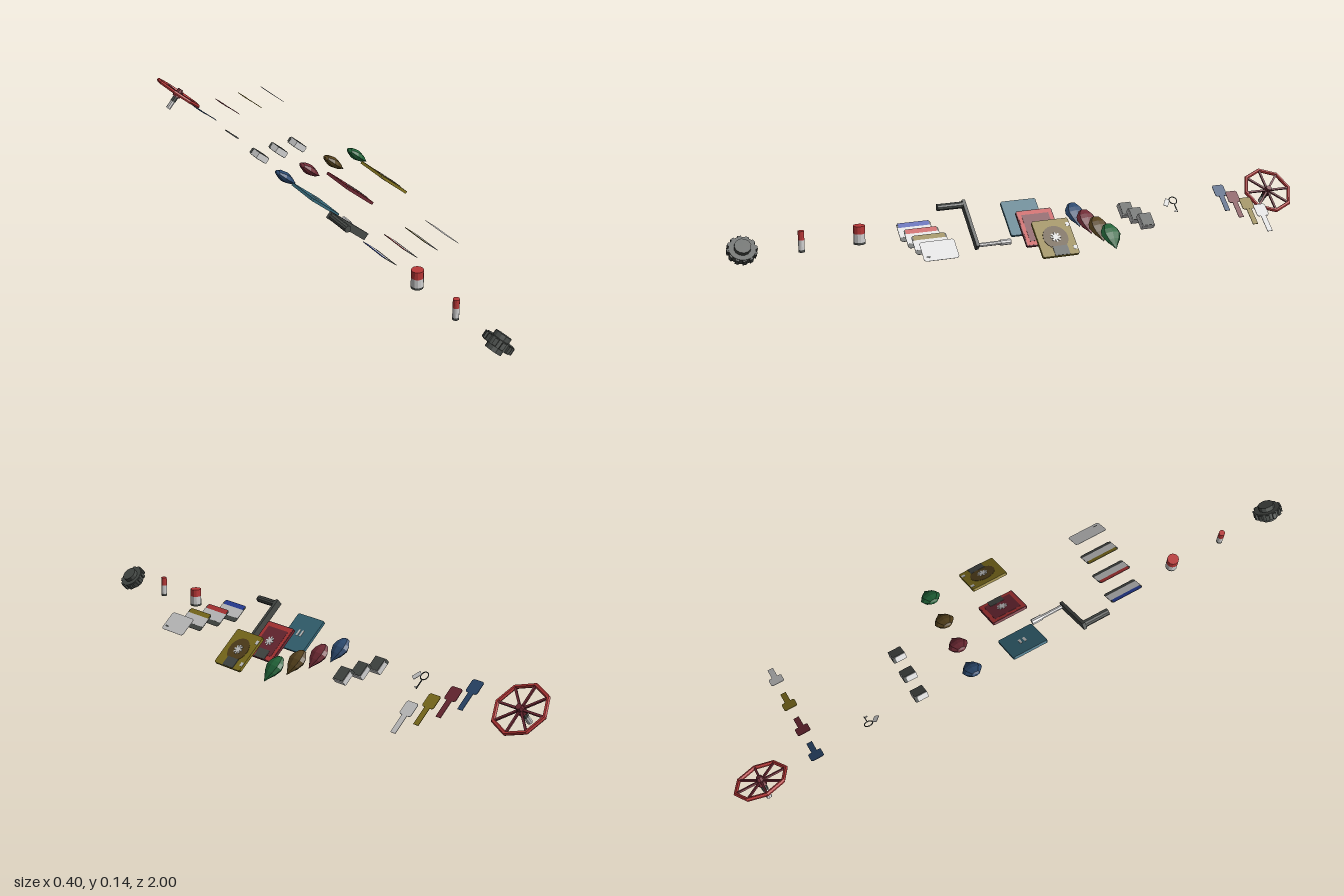
import * as THREE from 'three';

const mat = (name, color) => {
  const m = new THREE.MeshStandardMaterial({ color, flatShading: true });
  m.name = name;
  return m;
};

export function createModel() {
  const root = new THREE.Group();
  const dark = mat('dark grey', 0x474b48), white = mat('white', 0xd0d0d0), royal = mat('royal blue', 0x2b43a4);
  const red = mat('red', 0xb93838), maroon = mat('maroon', 0x702a35), blue = mat('blue', 0x2c4a70);
  const teal = mat('teal', 0x37697a), yellow = mat('mustard', 0x85741f), brown = mat('brown', 0x57431d), green = mat('green', 0x216338);
  const TILT = -42 * Math.PI / 180;

  const add = (parent, name, geo, material, x = 0, y = 0, z = 0) => {
    const m = new THREE.Mesh(geo, material);
    m.name = name;
    m.position.set(x, y, z);
    parent.add(m);
    return m;
  };
  const box = (p, name, m, w, h, d, x, y, z) => add(p, name, new THREE.BoxGeometry(w, h, d), m, x, y, z);
  const cyl = (p, name, m, r1, r2, h, n, x, y, z) => add(p, name, new THREE.CylinderGeometry(r1, r2, h, n), m, x, y, z);
  // Group lying on the common slope: local x runs down the slope, local y is its normal
  const item = (name, x, y, z, tilted = true) => {
    const g = new THREE.Group();
    g.name = name;
    g.position.set(x, y, z);
    if (tilted) g.rotation.z = TILT;
    root.add(g);
    return g;
  };
  // Flat plate with cut corners, thickness along local y
  const plate = (w, d, r, t) => {
    const s = new THREE.Shape(), a = w / 2, b = d / 2;
    s.moveTo(-a + r, -b).lineTo(a - r, -b).lineTo(a, -b + r).lineTo(a, b - r)
      .lineTo(a - r, b).lineTo(-a + r, b).lineTo(-a, b - r).lineTo(-a, -b + r);
    return new THREE.ExtrudeGeometry(s, { depth: t, bevelEnabled: false }).translate(0, 0, -t / 2).rotateX(-Math.PI / 2);
  };

  // Toothed gear with a hub on both sides
  const gear = item('gear', -0.127, 0.071, 0.953);
  cyl(gear, 'gearDisc', dark, 0.042, 0.042, 0.024, 24);
  cyl(gear, 'gearHub', dark, 0.026, 0.026, 0.054, 12);
  for (let i = 0; i < 12; i++) {
    const a = i * Math.PI / 6;
    const t = box(gear, 'gearTooth', dark, 0.01, 0.02, 0.012, Math.cos(a) * 0.042, 0, Math.sin(a) * 0.042);
    t.rotation.y = -a;
  }

  // Upright batteries: red top, pale label, dark base
  const battery = (name, z, r, h, y) => {
    const g = item(name, -0.131, y, z, false);
    cyl(g, 'topBand', red, r, r, h * 0.42, 12, 0, h * 0.29, 0);
    cyl(g, 'label', white, r, r, h * 0.46, 12, 0, -h * 0.15, 0);
    cyl(g, 'base', dark, r, r, h * 0.12, 12, 0, -h * 0.44, 0);
  };
  battery('thinBattery', 0.767, 0.01, 0.068, 0.077);
  battery('thickBattery', 0.581, 0.019, 0.06, 0.078);

  // Very thin access cards, both faces with a coloured edge and a dark strip
  [royal, red, yellow, white].forEach((m, i) => {
    const g = item('accessCard', -0.135 + i * 0.0765, 0.067, 0.394);
    add(g, 'cardBody', plate(0.07, 0.114, 0.006, 0.0012), i < 3 ? dark : white);
    for (const s of [-1, 1]) {
      if (i < 3) {
        box(g, 'cardEdge', m, 0.017, 0.0006, 0.104, -0.026, s * 0.0007, 0);
        box(g, 'cardFace', white, 0.036, 0.0006, 0.112, 0.0005, s * 0.0007, 0);
      } else {
        box(g, 'cardMark', dark, 0.006, 0.0006, 0.014, 0.02, s * 0.0007, 0.04);
      }
    }
  });

  // Crank: grip, arm, shaft and socket
  const crank = item('crank', -0.128, 0.068, 0.21);
  box(crank, 'crankArm', dark, 0.18, 0.024, 0.011, -0.002, 0, 0);
  cyl(crank, 'crankGrip', dark, 0.0115, 0.0115, 0.09, 10, -0.08, 0, 0.047).rotation.x = Math.PI / 2;
  cyl(crank, 'crankShaft', white, 0.007, 0.007, 0.09, 8, 0.079, 0, -0.045).rotation.x = Math.PI / 2;
  cyl(crank, 'crankSocket', white, 0.01, 0.01, 0.036, 8, 0.079, 0, -0.099).rotation.x = Math.PI / 2;

  // Square disk cases: hub star in the middle and a shutter at the downhill edge, on both faces
  [teal, maroon, yellow].forEach((m, i) => {
    const g = item('diskCase', -0.129 + i * 0.1315, 0.073, 0.024);
    add(g, 'caseBody', plate(0.134, 0.124, 0.004, 0.009), m);
    for (const s of [-1, 1]) {
      if (i === 0) {
        for (const k of [-1, 1]) box(g, 'hubMark', white, 0.024, 0.002, 0.008, 0, s * 0.0048, k * 0.008);
        continue;
      }
      if (i === 1) {
        box(g, 'caseFrame', red, 0.128, 0.001, 0.118, 0, s * 0.0045, 0);
        box(g, 'casePanel', maroon, 0.1, 0.001, 0.094, 0, s * 0.0051, 0);
      } else {
        cyl(g, 'caseDisc', brown, 0.042, 0.042, 0.002, 20, 0, s * 0.0046, 0);
        for (const k of [-1, 1]) box(g, 'caseNotch', white, 0.014, 0.002, 0.012, k * 0.043, s * 0.0042, -0.054);
      }
      box(g, 'shutter', dark, 0.034, 0.002, 0.05, 0.049, s * 0.0052, -0.004);
      for (let k = 0; k < 4; k++) {
        box(g, 'hubStar', white, 0.034, 0.002, 0.006, 0, s * 0.006, 0).rotation.y = k * Math.PI / 4;
      }
    }
  });

  // Slim teardrop gems, blunt uphill and pointed downhill
  const drop = [[0, -0.046], [0.015, -0.041], [0.03, -0.02], [0.033, -0.004], [0.024, 0.018], [0.01, 0.036], [0, 0.052]];
  const gemGeo = new THREE.LatheGeometry(drop.map(p => new THREE.Vector2(...p)), 8).rotateZ(-Math.PI / 2).scale(1, 0.52, 1);
  [blue, maroon, brown, green].forEach((m, i) => {
    add(item('gem', -0.126 + i * 0.093, 0.065, -0.162), 'gemBody', gemGeo, m);
  });

  // Fuses: pale blocks with dark covers and a dark band at the uphill back corner
  for (let i = 0; i < 3; i++) {
    const g = item('fuse', -0.118 + i * 0.074, 0.061, -0.346);
    box(g, 'fuseCore', white, 0.05, 0.019, 0.045);
    for (const s of [-1, 1]) box(g, 'fuseCover', dark, 0.046, 0.003, 0.042, 0, s * 0.01, 0);
    box(g, 'fuseBand', dark, 0.01, 0.017, 0.01, -0.0205, 0, -0.018);
  }

  // Small ring key with a tag
  const key = item('ringKey', -0.13, 0.072, -0.532);
  add(key, 'keyRing', new THREE.TorusGeometry(0.014, 0.0018, 6, 14).rotateX(Math.PI / 2), dark);
  box(key, 'keyShaft', dark, 0.034, 0.003, 0.003, 0.031, 0, 0);
  box(key, 'keyBit', white, 0.005, 0.002, 0.009, 0.043, 0, 0.005);
  box(key, 'keyTag', white, 0.03, 0.002, 0.016, 0.006, 0, 0.027).rotation.y = -0.6;

  // Thin flat keys: square head and narrow blade
  [blue, maroon, yellow, white].forEach((m, i) => {
    const g = item('flatKey', -0.121 + i * 0.0925, 0.064, -0.721);
    add(g, 'keyHead', plate(0.046, 0.044, 0.005, 0.002), m, -0.03, 0, 0);
    box(g, 'keyBlade', m, 0.062, 0.0018, 0.019, 0.023, 0, 0);
  });

  // Octagonal valve wheel with spokes, a domed hub and a stem beneath
  const valve = item('valveWheel', -0.129, 0.07, -0.907);
  add(valve, 'rim', new THREE.TorusGeometry(0.086, 0.007, 6, 8).rotateX(Math.PI / 2), red);
  for (let i = 0; i < 4; i++) {
    box(valve, 'spoke', maroon, 0.17, 0.006, 0.007).rotation.y = i * Math.PI / 4;
  }
  cyl(valve, 'hub', maroon, 0.01, 0.015, 0.032, 8);
  cyl(valve, 'stem', dark, 0.01, 0.01, 0.022, 8, 0, -0.025, 0);
  cyl(valve, 'stemEnd', white, 0.009, 0.009, 0.032, 8, 0, -0.051, 0);

  return root;
}
